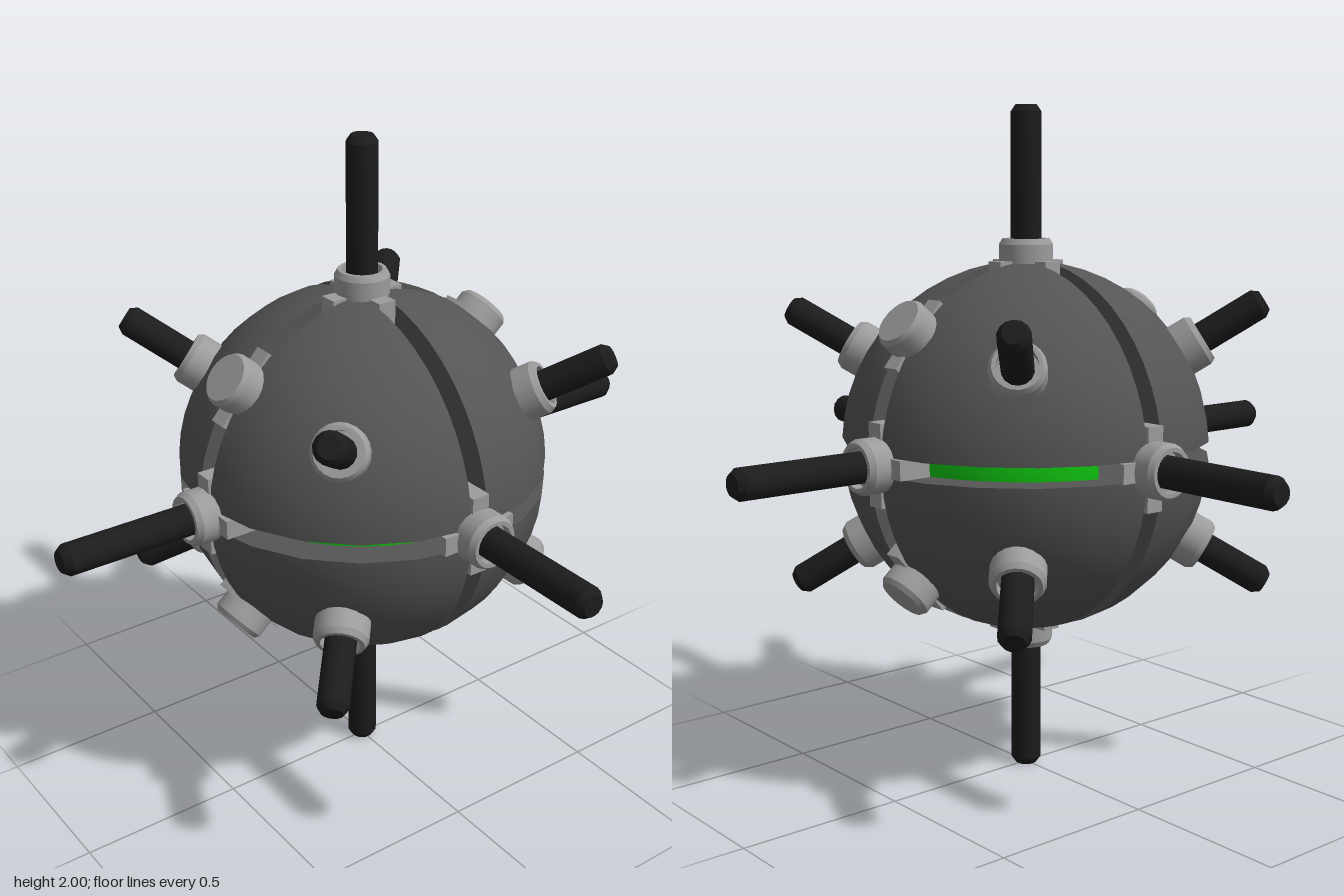
import * as THREE from 'three';
import { toCreasedNormals } from 'three/addons/utils/BufferGeometryUtils.js';
import { ParametricGeometry } from 'three/addons/geometries/ParametricGeometry.js';

const R = 0.55;       // outer shell radius
const INNER = 0.44;   // bottom of the grooves
const GAP = 0.028;    // half width of the grooves

const paint = (color, side = THREE.FrontSide) => new THREE.MeshStandardMaterial({ color, side });

function add(parent, name, geometry, material) {
  const mesh = new THREE.Mesh(geometry, material);
  mesh.name = name;
  parent.add(mesh);
  return mesh;
}

// Point on a sphere of the given radius, cast from the octant's corner at (GAP, GAP, GAP)
function octantPoint(polar, yaw, radius, target) {
  target.setFromSphericalCoords(1, polar, yaw);
  const b = GAP * (target.x + target.y + target.z);
  const t = -b + Math.sqrt(b * b + radius * radius - 3 * GAP * GAP);
  return target.multiplyScalar(t).addScalar(GAP);
}

function lathe(points, sides) {
  const profile = points.map(([r, y]) => new THREE.Vector2(r, y));
  return toCreasedNormals(new THREE.LatheGeometry(profile, sides), 0.5);
}

export function createModel() {
  const model = new THREE.Group();
  model.name = 'spikedSphere';
  const body = new THREE.Group();
  body.name = 'body';
  body.position.y = 1;
  model.add(body);

  const shellMat = paint(0x555555, THREE.DoubleSide);
  const metalMat = paint(0x9c9c9c);
  const rodMat = paint(0x1c1c1c);
  const coreMat = paint(0x11cc11);

  // Glowing core at the bottom of the grooves
  add(body, 'core', new THREE.SphereGeometry(0.46, 40, 28), coreMat);

  // One shell plate covers an octant
  const H = Math.PI / 2;
  const plate = new ParametricGeometry((u, v, p) => octantPoint((1 - v) * H, u * H, R, p), 5, 12);
  const pos = plate.attributes.position;
  const n = new THREE.Vector3();
  for (let i = 0; i < pos.count; i++) {
    n.fromBufferAttribute(pos, i).normalize();
    plate.attributes.normal.setXYZ(i, n.x, n.y, n.z);
  }

  // Groove walls along the three edges of a plate
  const edges = [(u) => [u * H, 0], (u) => [u * H, H], (u) => [H, u * H]];
  const walls = edges.map((edge, i) => new ParametricGeometry((u, v, p) => {
    const [polar, yaw] = edge(u);
    octantPoint(polar, yaw, INNER + v * (R - INNER), p);
  }, i === 2 ? 5 : 12, 1));

  for (const flip of [0, Math.PI]) {
    for (let q = 0; q < 4; q++) {
      const octant = new THREE.Group();
      octant.name = 'shellOctant';
      octant.rotation.set(flip, q * H, 0);
      add(octant, 'shellPlate', plate, shellMat);
      walls.forEach((w) => add(octant, 'grooveWall', w, shellMat));
      body.add(octant);
    }
  }

  // Fittings, all pointing up +y before being turned outward
  const collar = lathe([[0.08, 0.44], [0.08, 0.598], [0.07, 0.615], [0.058, 0.615], [0.058, 0.585], [0.03, 0.585]], 20);
  const button = lathe([[0.08, 0.44], [0.08, 0.598], [0.07, 0.612], [0, 0.612]], 20);
  const rod = (tip) => lathe([[0.046, 0.54], [0.046, tip - 0.02], [0.032, tip], [0, tip]], 14);
  const axisRod = rod(1);
  const diagonalRod = rod(0.825);
  const arm = new THREE.BoxGeometry(2 * GAP, 0.1, 0.24);
  arm.translate(0, 0.5, 0);

  const UP = new THREE.Vector3(0, 1, 0);
  function fitting(name, direction, base, rodGeometry, arms) {
    const group = new THREE.Group();
    group.name = name;
    group.quaternion.setFromUnitVectors(UP, new THREE.Vector3(...direction).normalize());
    add(group, rodGeometry ? 'collar' : 'button', base, metalMat);
    if (rodGeometry) add(group, 'rod', rodGeometry, rodMat);
    for (let i = 0; i < arms; i++) add(group, 'grooveArm', arm, metalMat).rotation.y = i * H;
    body.add(group);
  }

  // Six long spikes on the axes
  for (const s of [1, -1]) {
    fitting('sideSpike', [s, 0, 0], collar, axisRod, 2);
    fitting('verticalSpike', [0, s, 0], collar, axisRod, 2);
    fitting('depthSpike', [0, 0, s], collar, axisRod, 2);
  }

  // Eight short spikes, one per plate; two opposite ones lean a little
  for (const x of [1, -1]) for (const y of [1, -1]) for (const z of [1, -1]) {
    const leaning = x === -y && y === z;
    const d = leaning ? [0.47, 0.43, 0.51] : [0.53, 0.405, 0.488];
    fitting('diagonalSpike', [x * d[0], y * d[1], z * d[2]], collar, diagonalRod, 0);
  }

  // Four blank buttons set in the front-to-back groove
  for (const y of [1, -1]) for (const z of [1, -1]) {
    fitting('blankButton', [0, y * 0.395, z * 0.46], button, null, 1);
  }

  return model;
}
